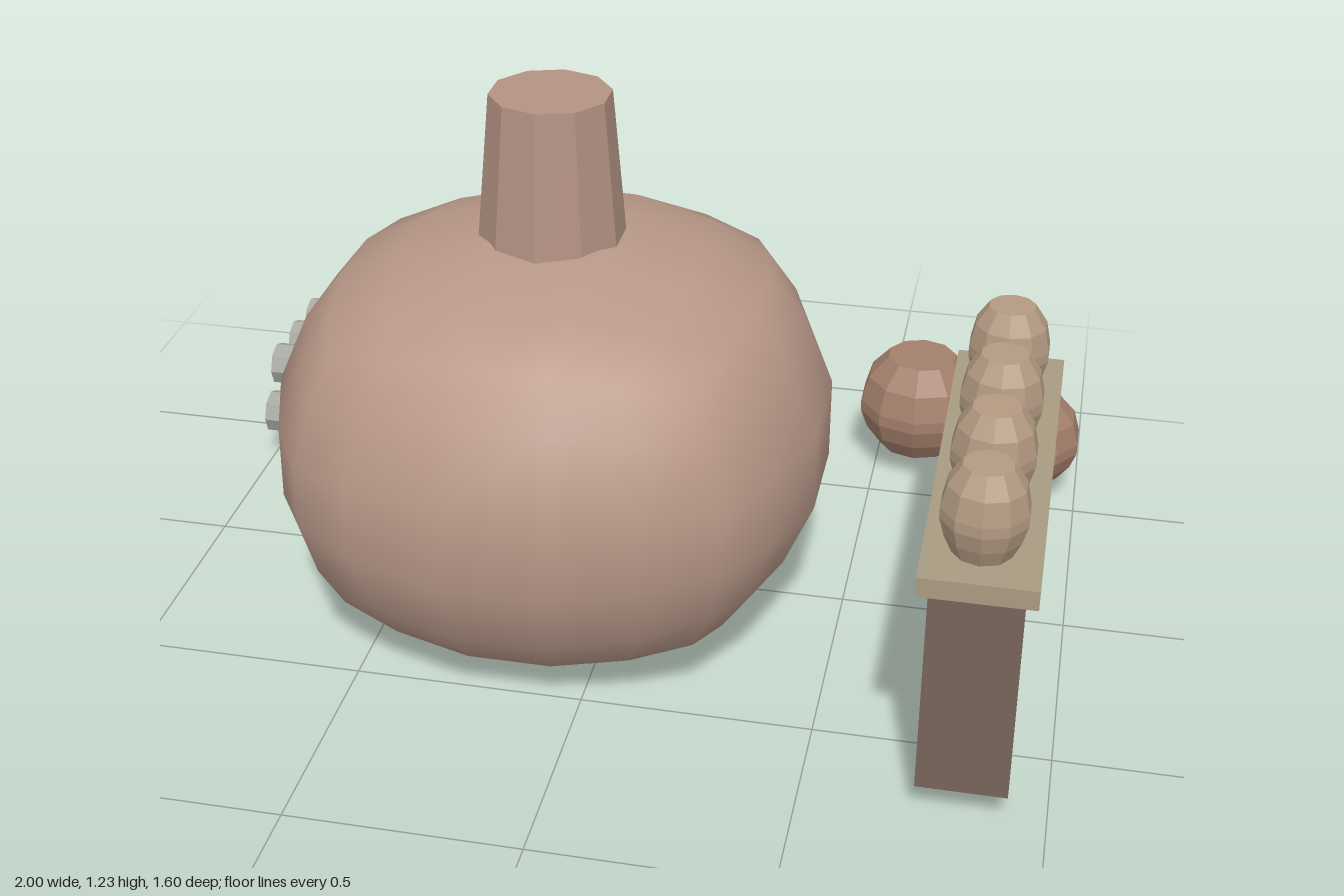
import * as THREE from 'three';
import { mergeVertices } from 'three/addons/utils/BufferGeometryUtils.js';
import { RoundedBoxGeometry } from 'three/addons/geometries/RoundedBoxGeometry.js';

const mat = (color, flatShading = true) => new THREE.MeshStandardMaterial({ color, flatShading });
const clay = mat(0xb89888, false);
const chimneyClay = mat(0xb39283);
const potClay = mat(0xa47f6c);
const jarClay = mat(0xb39a82);
const plank = mat(0xa99b82);
const darkWood = mat(0x78645a);
const doorWood = mat(0xc08440);
const metal = mat(0x9a9ea4);
const logGrey = mat(0xa8a8a2);

function add(parent, name, geometry, material, x, y, z) {
  const mesh = new THREE.Mesh(geometry, material);
  mesh.name = name;
  mesh.position.set(x, y, z);
  parent.add(mesh);
  return mesh;
}

// Box from its min and max corners
function block(parent, name, material, [x0, y0, z0], [x1, y1, z1]) {
  return add(parent, name, new THREE.BoxGeometry(x1 - x0, y1 - y0, z1 - z0), material,
    (x0 + x1) / 2, (y0 + y1) / 2, (z0 + z1) / 2);
}

// Cube grid pulled most of the way to a squashed sphere
function domeGeometry() {
  let geo = new THREE.BoxGeometry(2, 2, 2, 5, 5, 5);
  geo.deleteAttribute('uv');
  geo.deleteAttribute('normal');
  geo = mergeVertices(geo);
  const p = geo.attributes.position;
  const v = new THREE.Vector3();
  for (let i = 0; i < p.count; i++) {
    v.fromBufferAttribute(p, i);
    const s = 0.066 + 0.55 / v.length();
    p.setXYZ(i, v.x * s, v.y * s * 0.772, v.z * s);
  }
  geo.computeVertexNormals();
  return geo;
}

// Closed round pot: widest at the middle, narrowed at foot and rim
function potGeometry(radius, height, foot, rim) {
  const profile = [
    [0, 0], [foot, 0], [0.88, 0.2], [1, 0.4], [1, 0.52], [0.88, 0.78], [rim, 1], [0, 1],
  ].map(([r, h]) => new THREE.Vector2(r * radius, h * height));
  return new THREE.LatheGeometry(profile, 10);
}

export function createModel() {
  const model = new THREE.Group();
  model.name = 'potteryKiln';

  // Kiln
  const kiln = new THREE.Group();
  kiln.name = 'kiln';
  model.add(kiln);
  add(kiln, 'kilnDome', domeGeometry(), clay, -0.145, 0.46, 0.095);
  add(kiln, 'chimney', new THREE.CylinderGeometry(0.13, 0.162, 0.37, 10), chimneyClay, -0.147, 1.045, 0.097);
  block(kiln, 'kilnDoor', doorWood, [-0.3, 0.115, -0.525], [0.01, 0.42, -0.39]);
  add(kiln, 'doorLintel', new RoundedBoxGeometry(0.46, 0.066, 0.085, 2, 0.026), metal, -0.145, 0.423, -0.507);

  // Bench with a row of jars
  const bench = new THREE.Group();
  bench.name = 'bench';
  model.add(bench);
  block(bench, 'benchTop', plank, [0.715, 0.563, -0.13], [0.945, 0.605, 0.8]);
  block(bench, 'frontLeg', darkWood, [0.735, 0.07, 0.69], [0.92, 0.563, 0.732]);
  block(bench, 'backLeg', darkWood, [0.735, 0.07, -0.06], [0.92, 0.563, -0.015]);
  const jar = potGeometry(0.088, 0.19, 0.68, 0.57);
  for (let i = 0; i < 4; i++) add(bench, 'jar', jar, jarClay, 0.828, 0.605, 0.008 + i * 0.223);

  // Pots on the ground
  add(model, 'largePot', potGeometry(0.147, 0.24, 0.64, 0.57), potClay, 0.6, 0.07, -0.648);
  add(model, 'smallPot', potGeometry(0.127, 0.205, 0.64, 0.57), potClay, 0.875, 0.07, -0.555);

  // Log pile: four below, three above
  const pile = new THREE.Group();
  pile.name = 'logPile';
  model.add(pile);
  const log = new THREE.CylinderGeometry(0.052, 0.052, 0.407, 8).rotateZ(Math.PI / 2);
  for (let row = 0; row < 2; row++) {
    for (let i = 0; i < 4 - row; i++) {
      add(pile, 'log', log, logGrey, -0.797, 0.126 + row * 0.102, -0.75 + row * 0.065 + i * 0.13);
    }
  }
  return model;
}
